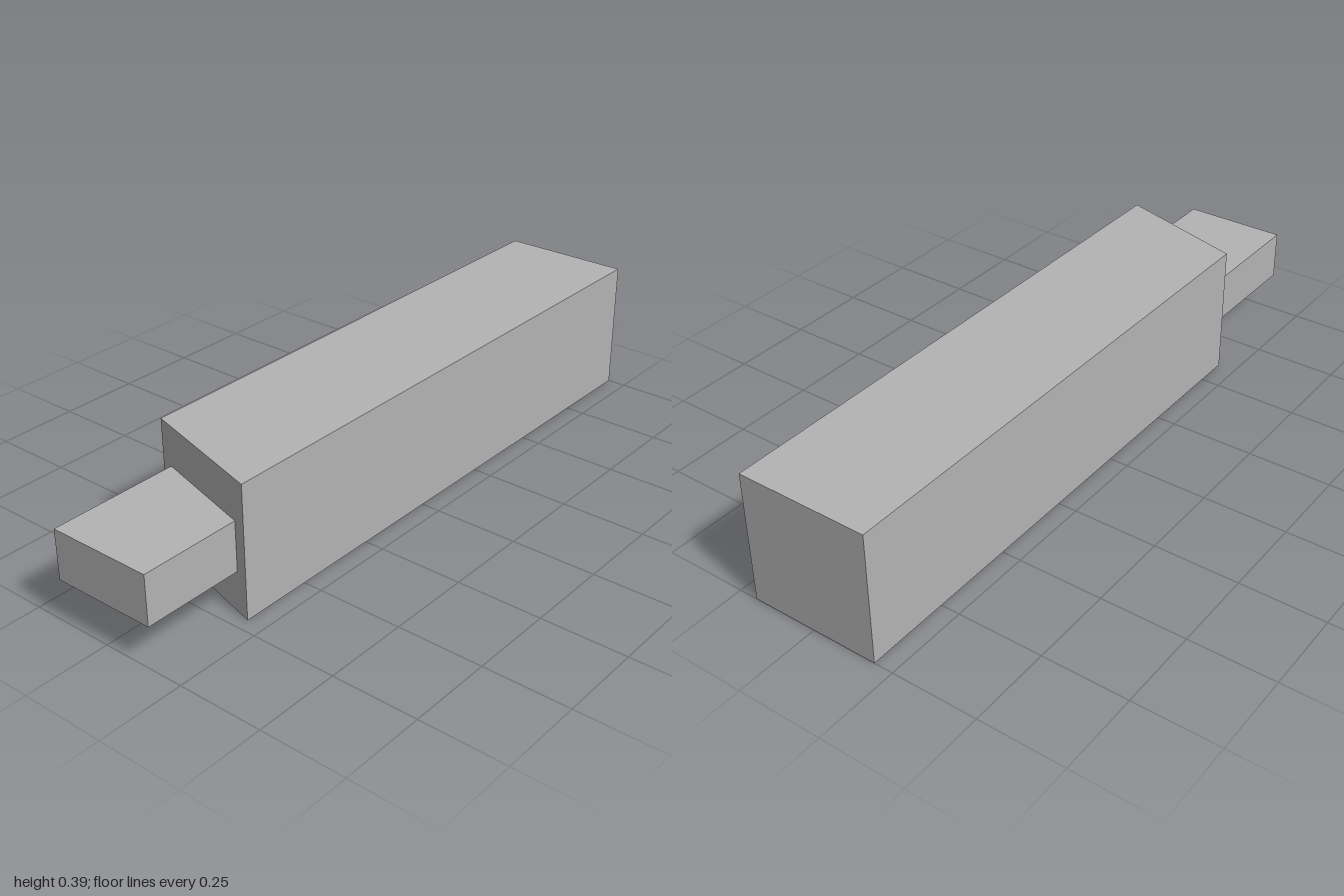
import * as THREE from 'three';

export function createModel() {
  const group = new THREE.Group();
  const grey = new THREE.MeshStandardMaterial({ color: 0xb3b3b3 });
  grey.name = 'grey';

  // Extrudes an x/z outline upward from y0 to y1
  function prism(name, outline, y0, y1) {
    const shape = new THREE.Shape(outline.map(([x, z]) => new THREE.Vector2(x, z)));
    const geometry = new THREE.ExtrudeGeometry(shape, { depth: y1 - y0, bevelEnabled: false });
    geometry.rotateX(Math.PI / 2).translate(0, y1, 0);
    const mesh = new THREE.Mesh(geometry, grey);
    mesh.name = name;
    group.add(mesh);
  }

  // Long case with a slanted front face
  prism('body', [[-0.194, -1], [0.194, -1], [0.194, 0.713], [-0.194, 0.6]], 0, 0.389);

  // Flat plug, its rear end following the slanted face
  prism('plug', [[-0.155, 0.611], [0.155, 0.701], [0.155, 1], [-0.155, 1]], 0.122, 0.268);

  return group;
}
